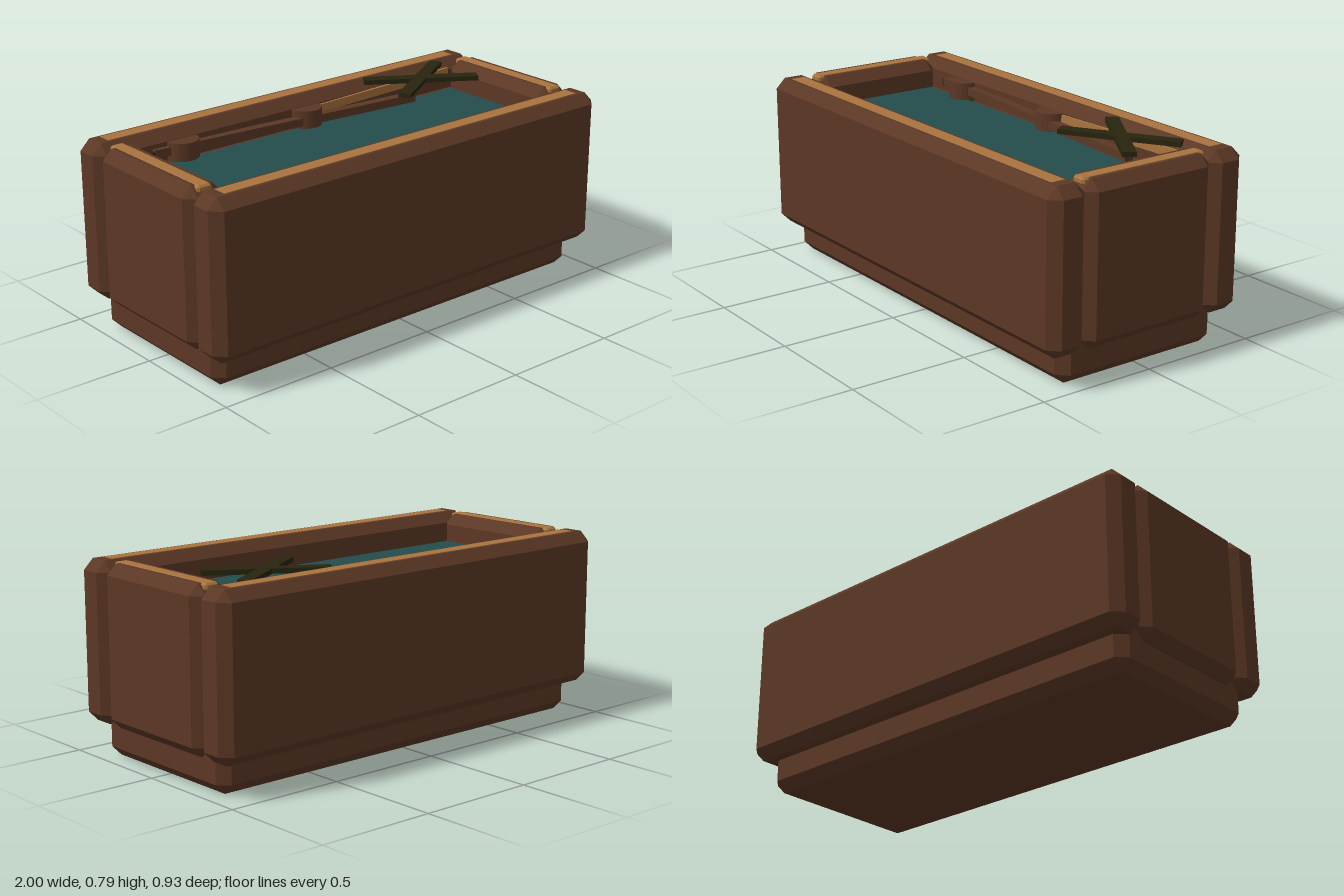
import * as THREE from 'three';
import { ConvexGeometry } from 'three/addons/geometries/ConvexGeometry.js';

const mat = (name, color) => {
  const m = new THREE.MeshStandardMaterial({ color });
  m.name = name;
  return m;
};

// Box with every edge cut at 45 degrees by c, given by its limits
function chamferBox(x0, x1, y0, y1, z0, z1, c) {
  const half = [(x1 - x0) / 2, (y1 - y0) / 2, (z1 - z0) / 2];
  const mid = new THREE.Vector3(x0 + x1, y0 + y1, z0 + z1).multiplyScalar(0.5);
  const pts = [];
  for (const sx of [-1, 1]) for (const sy of [-1, 1]) for (const sz of [-1, 1]) {
    for (let full = 0; full < 3; full++) {
      const h = half.map((v, i) => (i === full ? v : v - c));
      pts.push(new THREE.Vector3(sx * h[0], sy * h[1], sz * h[2]).add(mid));
    }
  }
  return new ConvexGeometry(pts);
}

export function createModel() {
  const group = new THREE.Group();
  group.name = 'woodenTrough';
  const wood = mat('brown wood', 0x5c3825);
  const trim = mat('golden trim', 0xa8743e);
  const water = mat('teal water', 0x244c4c);
  const dark = mat('dark green', 0x27240f);

  const add = (name, geo, material) => {
    const mesh = new THREE.Mesh(geo, material);
    mesh.name = name;
    group.add(mesh);
    return mesh;
  };

  // Base plinth
  add('base', chamferBox(-0.95, 0.95, 0, 0.24, -0.38, 0.38, 0.0425), wood);

  // Long and short walls with inlaid trim on their tops
  const c = 0.0425;
  for (const s of [-1, 1]) {
    const side = s > 0 ? 'front' : 'back';
    const z = s * 0.379;
    add(side + 'Wall', chamferBox(-1, 1, 0.135, 0.792, z - 0.084, z + 0.084, c), wood);
    const strip = add(side + 'Trim', new THREE.BoxGeometry(1.83, 0.03, 0.06), trim);
    strip.position.set(0, 0.779, z);

    const end = s > 0 ? 'left' : 'right';
    const x = s * 0.916;
    add(end + 'Wall', chamferBox(x - 0.084, x + 0.084, 0.135, 0.792, -0.304, 0.304, c), wood);
    const endStrip = add(end + 'Trim', chamferBox(x - 0.031, x + 0.031, 0.764, 0.794, -0.295, 0.292, 0.008), trim);
    endStrip.position.y = 0;
  }

  // Inner bed and the water surface
  add('bed', new THREE.BoxGeometry(1.72, 0.465, 0.62), wood).position.y = 0.4325;
  add('water', new THREE.BoxGeometry(1.664, 0.008, 0.53), water).position.y = 0.669;

  // Pegs half sunk in the back wall
  for (const x of [-0.61, 0.02]) {
    add('peg', new THREE.CylinderGeometry(0.072, 0.072, 0.09, 14).toNonIndexed(), wood)
      .position.set(x, 0.703, -0.295);
  }

  // Bar stretched between two points
  const bar = (name, a, b, h, d, material) => {
    const from = new THREE.Vector3(...a), to = new THREE.Vector3(...b);
    const mesh = add(name, new THREE.BoxGeometry(from.distanceTo(to), h, d), material);
    mesh.position.lerpVectors(from, to, 0.5);
    mesh.quaternion.setFromUnitVectors(new THREE.Vector3(1, 0, 0), to.sub(from).normalize());
    return mesh;
  };
  bar('slantedPole', [-0.75, 0.715, -0.295], [0.58, 0.69, -0.238], 0.035, 0.04, wood);
  bar('backRail', [0.08, 0.725, -0.292], [0.83, 0.745, -0.288], 0.035, 0.012, trim);
  bar('railEnd', [-0.76, 0.71, -0.285], [-0.68, 0.71, -0.285], 0.03, 0.02, dark);

  // Crossed slats lying over the back corner
  for (const s of [-1, 1]) {
    const slat = add('crossedSlat', new THREE.BoxGeometry(0.5, 0.02, 0.055), dark);
    slat.position.set(0.58, 0.783 - (s > 0 ? 0.001 : 0), -0.19);
    slat.rotation.y = s * 0.56;
  }

  return group;
}
